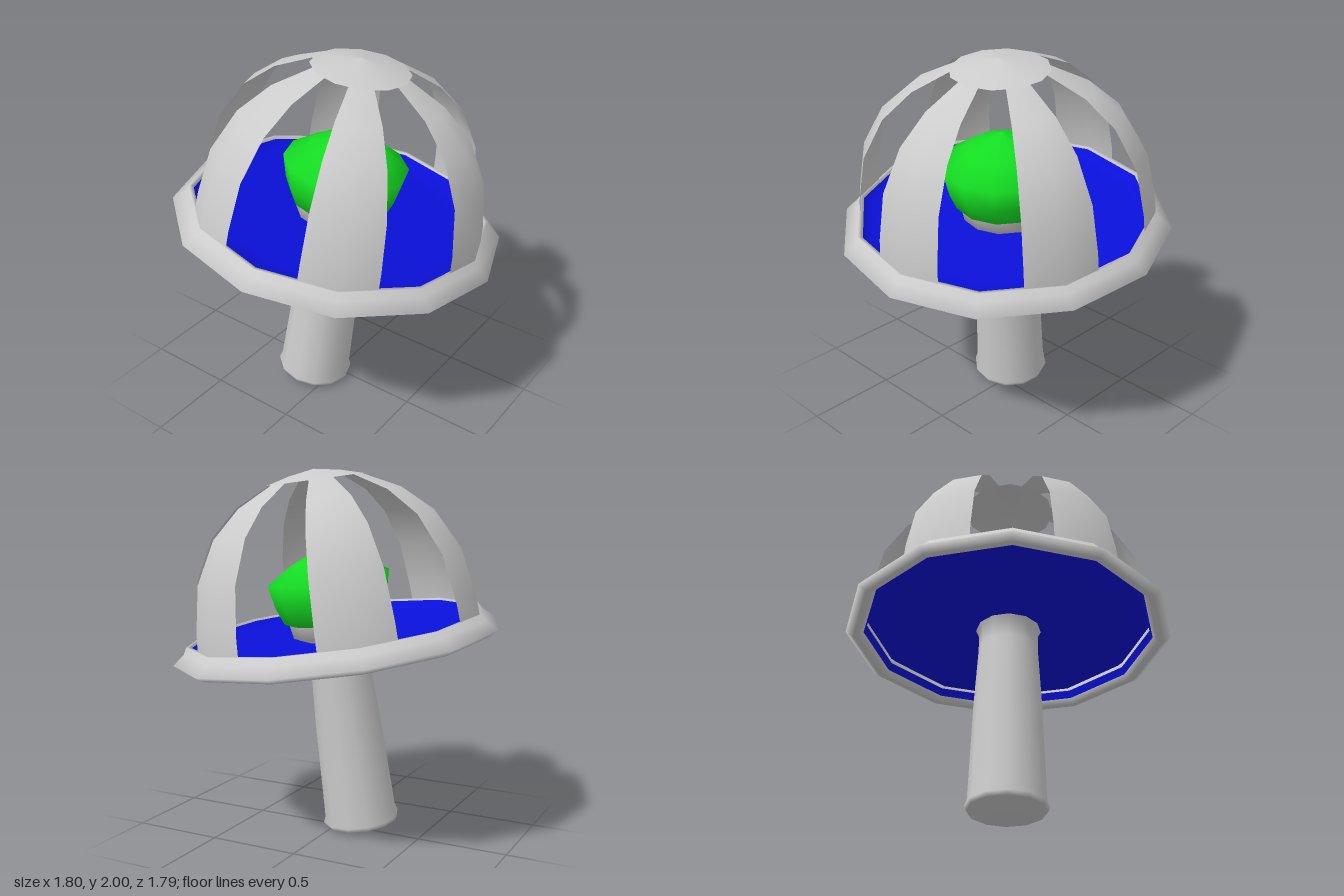
import * as THREE from 'three';

const SIDES = 12;
const PHASE = THREE.MathUtils.degToRad(5.6);
const HALF = THREE.MathUtils.degToRad(14.5); // half the angular width of a rib
const STEP = Math.PI * 2 / SIDES;

const material = (color) => new THREE.MeshStandardMaterial({ color, side: THREE.DoubleSide });
const points = (profile) => profile.map(([r, h]) => new THREE.Vector2(r, h));

// Twelve-sided turned part; profile is [radius, height] from bottom to top
function turned(name, profile, mat) {
  const mesh = new THREE.Mesh(new THREE.LatheGeometry(points(profile), SIDES, PHASE), mat);
  mesh.name = name;
  return mesh;
}

// Curved dome rib, its edges pulled in to lie on the twelve-sided dome
function rib(profile, angle, mat) {
  const geometry = new THREE.LatheGeometry(points(profile), 2, angle - HALF, HALF * 2);
  const pos = geometry.attributes.position;
  const pull = Math.cos(STEP / 2) / Math.cos(STEP / 2 - HALF);
  const n = profile.length;
  for (let i = 0; i < pos.count; i++) {
    if (Math.floor(i / n) === 1) continue; // middle column stays
    pos.setX(i, pos.getX(i) * pull);
    pos.setZ(i, pos.getZ(i) * pull);
  }
  const mesh = new THREE.Mesh(geometry, mat);
  mesh.name = 'domeRib';
  return mesh;
}

export function createModel() {
  const model = new THREE.Group();
  model.name = 'domedLantern';
  const grey = material(0xcccccc);
  const blue = material(0x0a10d8);
  const green = material(0x14dc22);

  // Everything turns around one leaning axis, with the rim at its origin
  const body = new THREE.Group();
  body.name = 'leaningBody';
  body.position.set(0.006, 1.07, -0.003);
  body.quaternion.setFromUnitVectors(
    new THREE.Vector3(0, 1, 0), new THREE.Vector3(0.07, 1, 0.115).normalize());
  model.add(body);

  // Handle, widening into the lamp socket just above the tray
  body.add(turned('handle', [
    [0, -1.05], [0.205, -1.05], [0.215, -1.025], [0.202, -0.99], [0.183, -0.45],
    [0.163, -0.1], [0.165, 0.015], [0.235, 0.045], [0.25, 0.13],
  ], grey));

  // Tray closing the rim, turned up at its edge
  body.add(turned('tray', [
    [0.15, 0.02], [0.3, 0.028], [0.66, 0.033], [0.76, 0.045], [0.795, 0.078],
  ], blue));

  // Coloured lining of the rim below the tray
  body.add(turned('rimLining', [[0.805, 0], [0.79, 0.045]], blue));

  // Flared rim with a low wall under the windows
  body.add(turned('rim', [
    [0.797, 0.045], [0.81, 0], [0.83, -0.028], [0.86, -0.03], [0.905, 0],
    [0.84, 0.05], [0.82, 0.088], [0.8, 0.088], [0.797, 0.045],
  ], grey));

  // Lamp
  body.add(turned('lamp', [
    [0.22, 0.11], [0.275, 0.13], [0.31, 0.22], [0.337, 0.35], [0.2, 0.44], [0, 0.53],
  ], green));

  // Dome: six ribs between open windows, joined by a cap
  const ribProfile = [
    [0.815, 0.07], [0.805, 0.18], [0.755, 0.43], [0.632, 0.645], [0.468, 0.785], [0.262, 0.882],
  ];
  for (let i = 0; i < 6; i++) body.add(rib(ribProfile, PHASE + i * STEP * 2, grey));
  body.add(turned('domeCap', [[0.262, 0.882], [0.14, 0.915], [0, 0.938]], grey));

  return model;
}
